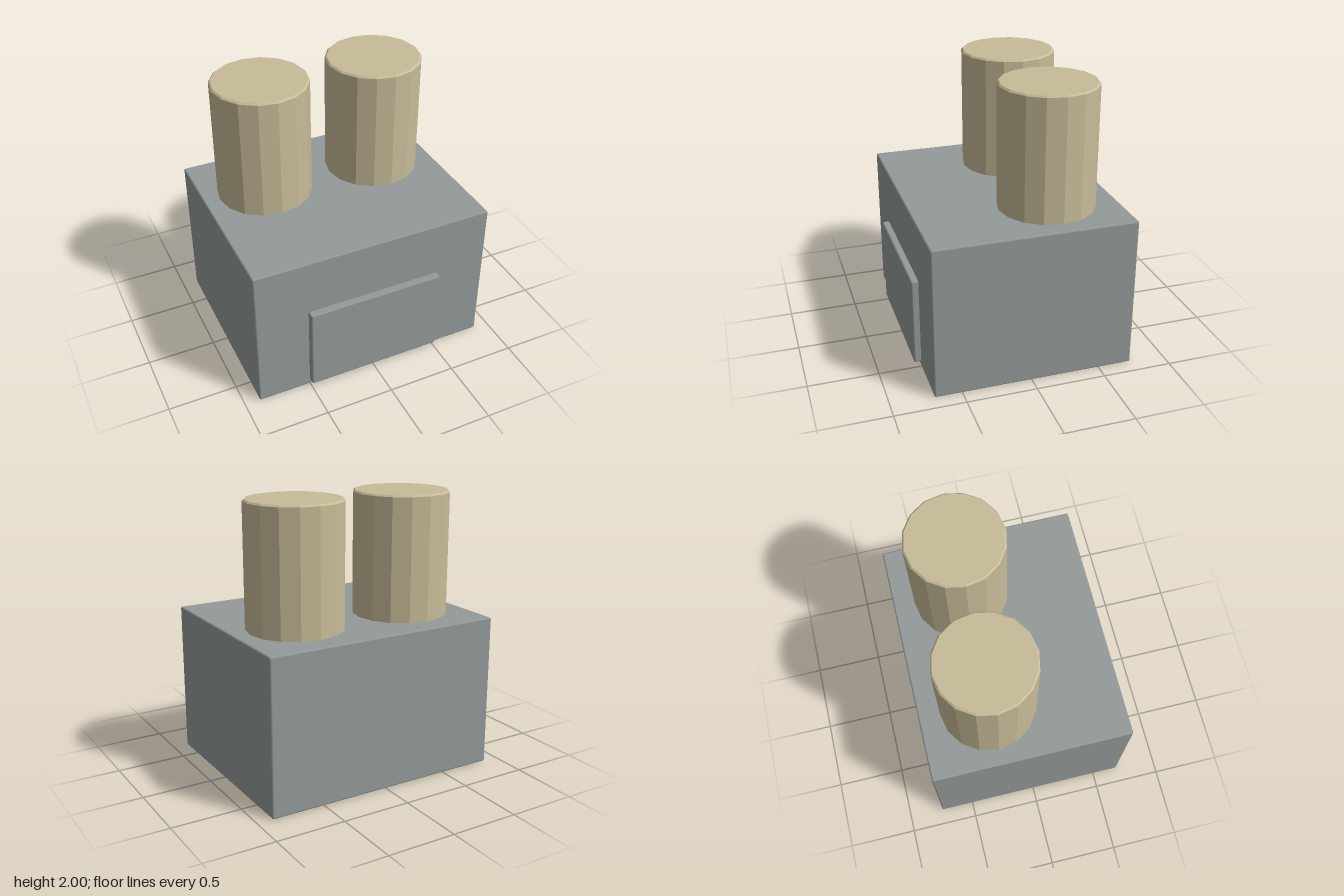
import * as THREE from 'three';
import { RoundedBoxGeometry } from 'three/addons/geometries/RoundedBoxGeometry.js';

const BEVEL = 0.012;

export function createModel() {
  const model = new THREE.Group();
  model.name = 'twinStackBlock';

  const grey = new THREE.MeshStandardMaterial({ name: 'wall grey', color: 0x939a99 });
  const tan = new THREE.MeshStandardMaterial({ name: 'stack tan', color: 0xc7bc99 });

  function add(name, geometry, material, x, y, z) {
    const mesh = new THREE.Mesh(geometry, material);
    mesh.name = name;
    mesh.position.set(x, y, z);
    model.add(mesh);
  }

  // Box from its extents, with narrow bevelled edges
  function addBox(name, halfWidth, y0, y1, z0, z1) {
    const geometry = new RoundedBoxGeometry(halfWidth * 2, y1 - y0, z1 - z0, 1, BEVEL);
    add(name, geometry, grey, 0, (y0 + y1) / 2, (z0 + z1) / 2);
  }

  // Main block and the raised panel on its front
  addBox('mainBlock', 0.89, 0, 1.11, -0.745, 0.695);
  addBox('frontPanel', 0.503, 0.04, 0.69, 0.655, 0.745);

  // Sixteen-sided stacks with a bevelled top rim, set into the roof
  const radius = 0.345;
  const bottom = 1.08;
  const profile = [
    [0, bottom], [radius, bottom], [radius, 2 - BEVEL], [radius - BEVEL, 2], [0, 2],
  ].map(([r, y]) => new THREE.Vector2(r, y));
  const stack = new THREE.LatheGeometry(profile, 16).toNonIndexed();
  stack.computeVertexNormals(); // flat facets

  for (const [name, side] of [['leftStack', 1], ['rightStack', -1]]) {
    add(name, stack, tan, side * 0.433, 0, -0.245);
  }

  return model;
}
